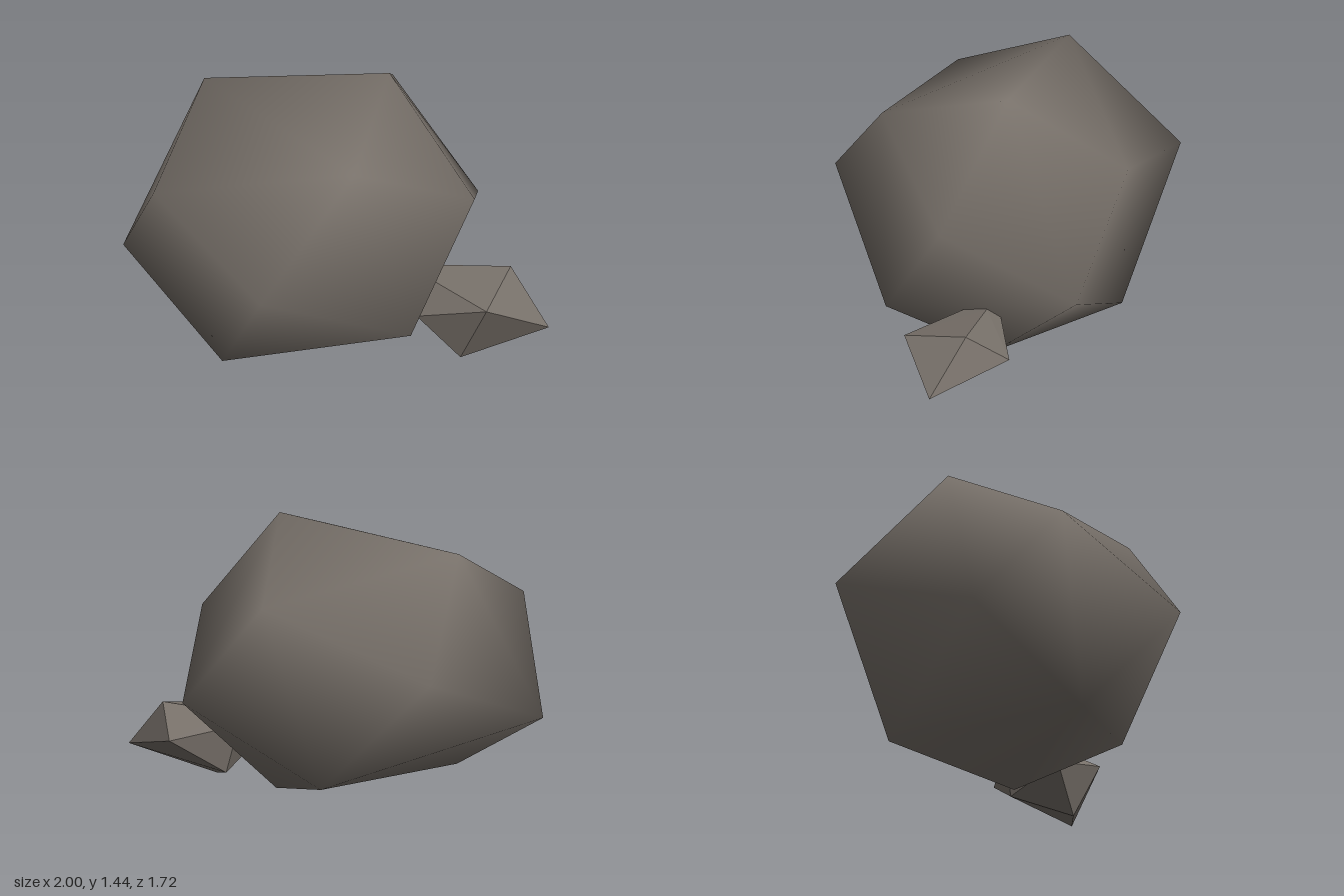
import * as THREE from 'three';
import { ConvexGeometry } from 'three/addons/geometries/ConvexGeometry.js';
import { mergeVertices } from 'three/addons/utils/BufferGeometryUtils.js';

// Convex hull around a few corner points
function hull(points) {
  return new ConvexGeometry(points.map((p) => new THREE.Vector3(...p)));
}

// Share the corners so that the normals run smoothly across the faces
function smooth(geometry) {
  geometry.deleteAttribute('normal');
  const merged = mergeVertices(geometry, 1e-4);
  merged.computeVertexNormals();
  return merged;
}

export function createModel() {
  const group = new THREE.Group();
  group.name = 'rocks';

  const stone = new THREE.MeshStandardMaterial({ color: 0x78716a });
  stone.name = 'stone';

  // Large boulder, smooth shaded
  const boulder = new THREE.Mesh(smooth(hull([
    // top
    [0.29, 1.44, 0.08], [-0.57, 1.30, -0.32], [-0.03, 1.22, 0.68], [0.44, 1.09, -0.51],
    // sides
    [-0.95, 0.97, 0.20], [0.64, 0.88, 0.46], [-0.37, 0.76, -0.86],
    [-0.55, 0.64, 0.86], [0.81, 0.54, -0.21], [-1.00, 0.43, -0.26],
    // bottom
    [0.26, 0.27, 0.69], [0.145, 0.15, -0.51], [-0.63, 0.05, 0.35], [0.30, 0.00, 0.15],
  ])), stone);
  boulder.name = 'boulder';
  group.add(boulder);

  // Small stone leaning against it, with flat facets
  const pebble = new THREE.Mesh(hull([
    // top
    [0.85, 0.41, 0.35], [0.53, 0.38, 0.21], [0.47, 0.35, 0.32], [0.49, 0.33, 0.14],
    // sides
    [0.66, 0.33, 0.64], [0.84, 0.26, 0.13], [0.36, 0.20, 0.38], [1.00, 0.15, 0.55],
    // bottom
    [0.55, 0.08, 0.17], [0.56, 0.00, 0.49],
  ]), stone);
  pebble.name = 'smallStone';
  group.add(pebble);

  return group;
}
